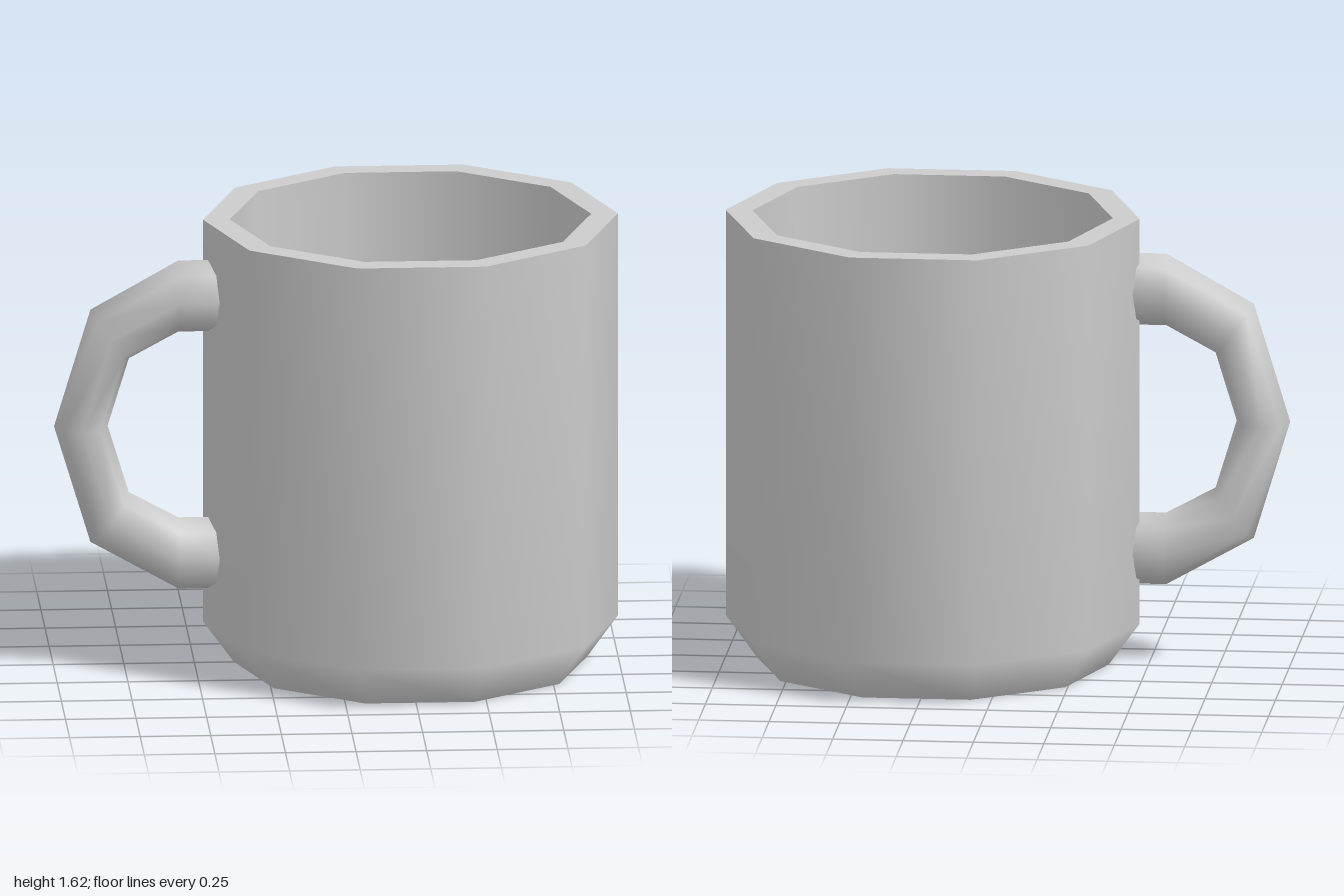
import * as THREE from 'three';

const material = new THREE.MeshStandardMaterial({ color: 0xcccccc });
const SIDES = 10;
const CUP_X = 0.265;

// One smooth band of the ten-sided cup; separate bands keep sharp edges between them.
function band(name, profile) {
  const points = profile.map(([r, y]) => new THREE.Vector2(r, y));
  const mesh = new THREE.Mesh(new THREE.LatheGeometry(points, SIDES, Math.PI / 2), material);
  mesh.name = name;
  mesh.position.x = CUP_X;
  return mesh;
}

// Handle swept through elliptical eight-sided rings.
function handleGeometry() {
  const sides = 8, midY = 0.885, z = 0.048, zRadius = 0.108;
  // Upper half: centre x, centre height above the middle, half-width vector x, y
  const upper = [
    [-0.4, 0.47, 0, 0.13],
    [-0.56, 0.47, 0, 0.13],
    [-0.803, 0.335, -0.068, 0.09],
  ];
  const lower = upper.map(([x, y, nx, ny]) => [x, -y, nx, -ny]).reverse();
  const rings = [...upper, [-0.905, 0, -0.095, 0], ...lower];
  const positions = [], index = [];
  rings.forEach(([x, y, nx, ny], i) => {
    for (let j = 0; j < sides; j++) {
      const a = (j / sides) * Math.PI * 2;
      const c = Math.cos(a);
      positions.push(x + nx * c, midY + y + ny * c, z + zRadius * Math.sin(a));
      if (i === rings.length - 1) continue;
      const k = (j + 1) % sides;
      const p = i * sides + j, q = i * sides + k;
      index.push(p, p + sides, q, q, p + sides, q + sides);
    }
  });
  const geometry = new THREE.BufferGeometry();
  geometry.setAttribute('position', new THREE.Float32BufferAttribute(positions, 3));
  geometry.setIndex(index);
  geometry.computeVertexNormals();
  return geometry;
}

export function createModel() {
  const mug = new THREE.Group();
  mug.name = 'mug';

  // Cup shell, from the base up the outside, over the rim and down the inside
  mug.add(
    band('base', [[0, 0], [0.625, 0]]),
    band('outerWall', [[0.625, 0], [0.735, 0.15], [0.735, 1.62]]),
    band('rim', [[0.735, 1.62], [0.64, 1.62]]),
    band('innerWall', [[0.64, 1.62], [0.64, 0.16], [0.615, 0.11]]),
    band('floor', [[0.615, 0.11], [0, 0.11]]),
  );

  // Handle, its open ends buried in the wall
  const handle = new THREE.Mesh(handleGeometry(), material);
  handle.name = 'handle';
  mug.add(handle);

  return mug;
}
